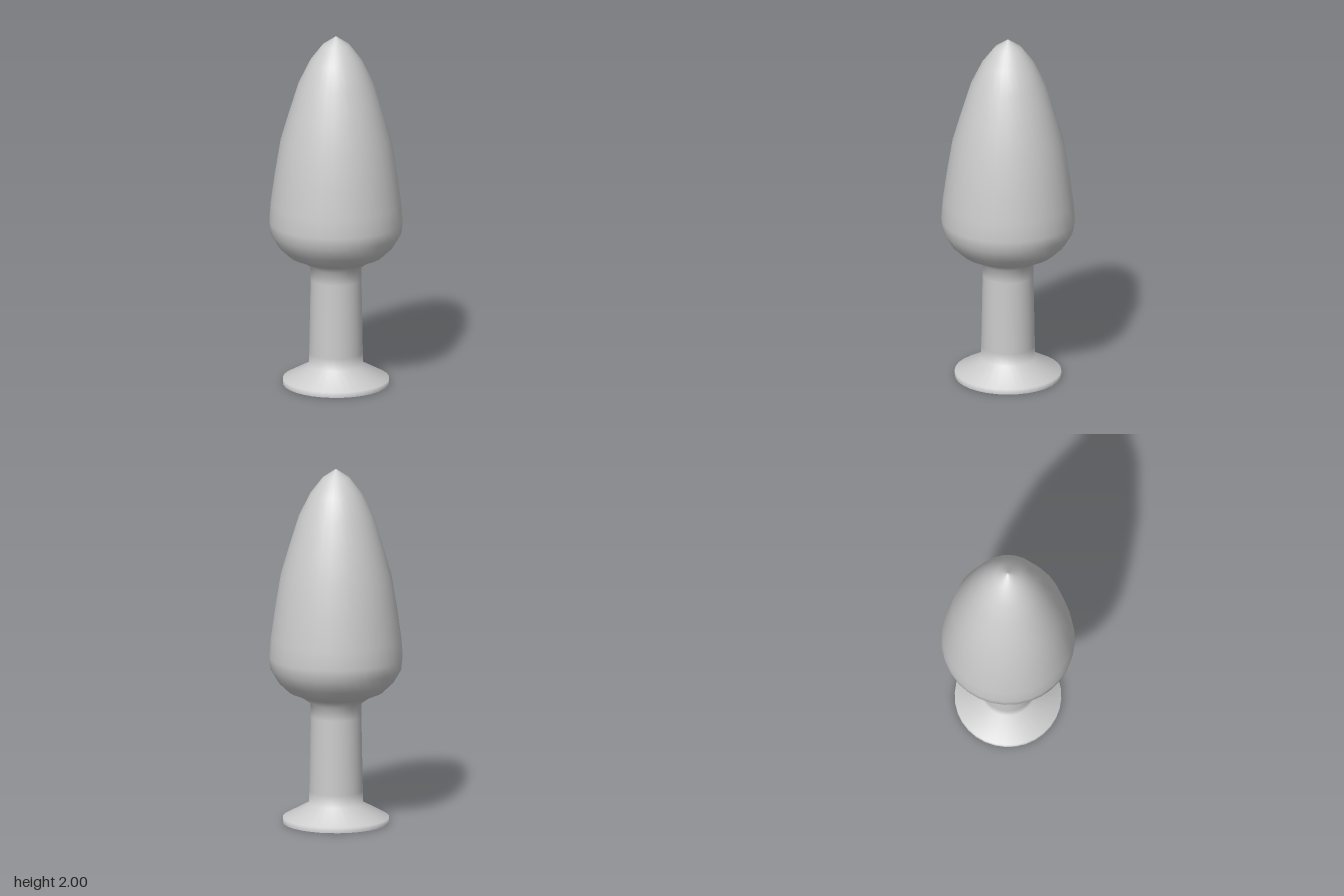
import * as THREE from 'three';

const SIDES = 32;

export function createModel() {
  const group = new THREE.Group();
  const material = new THREE.MeshStandardMaterial({ color: 0xcccccc });

  function turned(name, profile) {
    const points = profile.map(([r, y]) => new THREE.Vector2(r, y));
    const mesh = new THREE.Mesh(new THREE.LatheGeometry(points, SIDES), material);
    mesh.name = name;
    group.add(mesh);
  }

  // Outer skin in one smooth sweep: rim, flared foot, stem, bulb and tip
  turned('body', [
    [0.295, 0], [0.295, 0.03],
    [0.149, 0.11], [0.149, 0.18], [0.141, 0.6], [0.141, 0.675],
    [0.196, 0.716], [0.265, 0.745], [0.32, 0.797], [0.363, 0.87],
    [0.37, 0.935], [0.362, 1.04], [0.34, 1.2], [0.307, 1.4],
    [0.26, 1.56], [0.207, 1.73], [0.143, 1.86], [0.074, 1.95], [0, 2],
  ]);

  // Flat underside of the foot
  turned('footUnderside', [[0, 0], [0.295, 0]]);

  return group;
}
